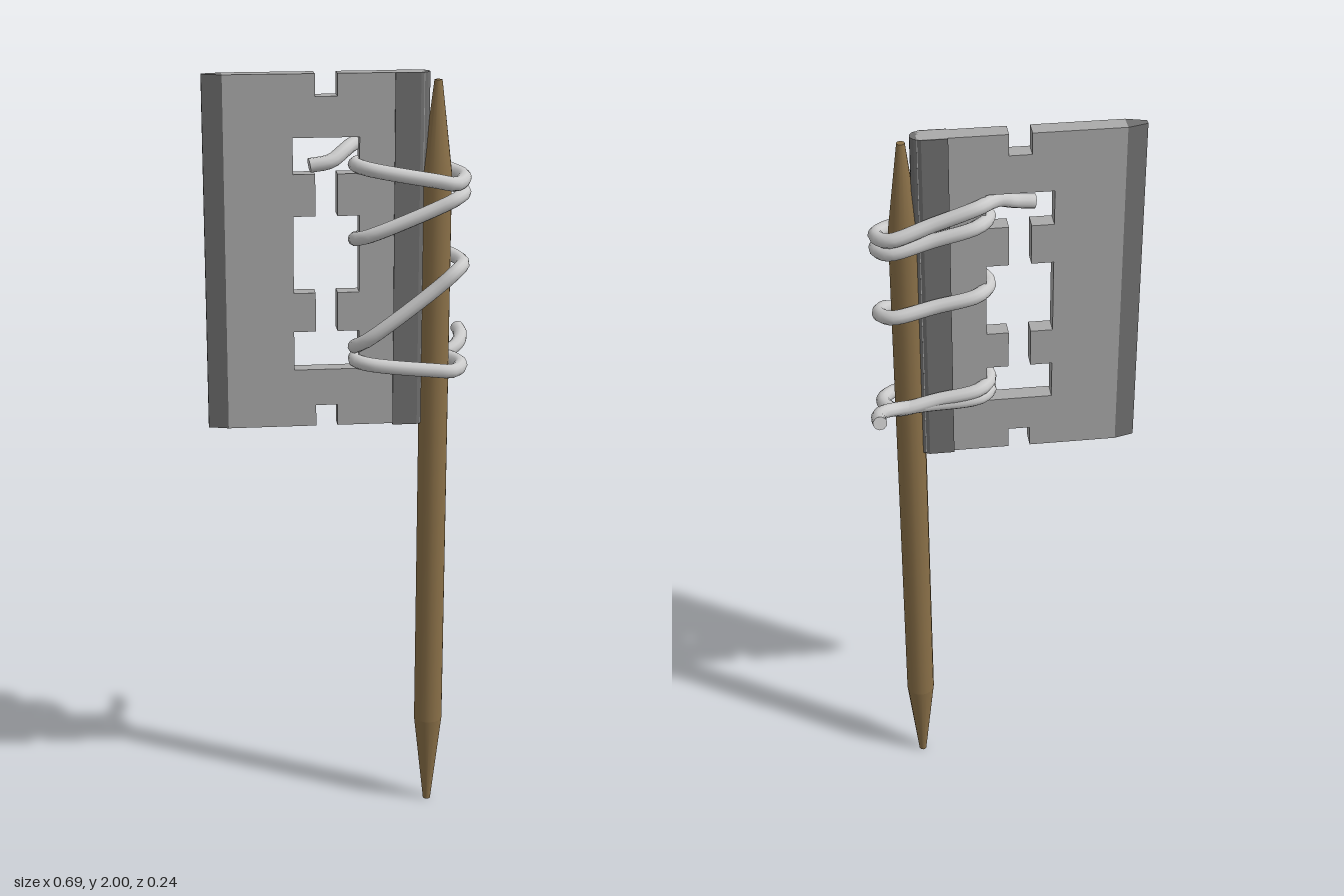
import * as THREE from 'three';

const material = (color, extra = {}) => new THREE.MeshStandardMaterial({ color, ...extra });

function addMesh(parent, name, geometry, mat) {
  const mesh = new THREE.Mesh(geometry, mat);
  mesh.name = name;
  parent.add(mesh);
  return mesh;
}

const toPoints = (list) => list.map(([x, y]) => new THREE.Vector2(x, y));

// Upright prism from an (x, z) outline; the outline is symmetric about z = 0.
function uprightPrism(outline, bottom, height, z) {
  const geometry = new THREE.ExtrudeGeometry(new THREE.Shape(toPoints(outline)), {
    depth: height, bevelEnabled: false,
  });
  return geometry.rotateX(-Math.PI / 2).translate(0, bottom, z);
}

function createBlade() {
  const blade = new THREE.Group();
  blade.name = 'blade';
  const bottom = 1.105, top = 2, z = 0.04, half = 0.022;
  const slotL = -0.07, slotR = -0.015;

  // Plate with a notch in the top and bottom edges
  const plate = new THREE.Shape(toPoints([
    [-0.295, bottom], [slotL, bottom], [slotL, 1.16], [slotR, 1.16], [slotR, bottom], [0.2, bottom],
    [0.2, top], [slotR, top], [slotR, 1.945], [slotL, 1.945], [slotL, top], [-0.295, top],
  ]));

  // Central slot with two pairs of inward tabs
  const holeL = -0.125, holeR = 0.04;
  const levels = [1.255, 1.355, 1.455, 1.65, 1.755, 1.845];
  const left = [], right = [];
  for (let i = 0; i < 5; i++) {
    const tab = i % 2 === 1;
    for (const y of [levels[i], levels[i + 1]]) {
      left.push([tab ? slotL : holeL, y]);
      right.push([tab ? slotR : holeR, y]);
    }
  }
  plate.holes.push(new THREE.Path(toPoints([...left, ...right.reverse()])));
  const plateGeometry = new THREE.ExtrudeGeometry(plate, { depth: half * 2, bevelEnabled: false });
  addMesh(blade, 'bladePlate', plateGeometry.translate(0, 0, z - half), material(0xaaaaaa));

  // Ground cutting edge
  const edge = [[-0.345, -0.008], [-0.295, -half], [-0.295, half], [-0.345, 0.008]];
  addMesh(blade, 'cuttingEdge', uprightPrism(edge, bottom, top - bottom, z), material(0x707070));

  // Folded cover along the blunt side
  const cover = [[0.127, -0.026], [0.19, -0.026], [0.207, -0.018], [0.215, -0.006],
    [0.215, 0.006], [0.207, 0.018], [0.19, 0.026], [0.127, 0.026]];
  addMesh(blade, 'edgeCover', uprightPrism(cover, bottom - 0.003, 0.898, z), material(0x707070));
  return blade;
}

function createStick() {
  // Straight shaft, tapered at both ends
  const shaft = new THREE.Group();
  shaft.name = 'stick';
  const wood = material(0x8a7048);
  const sections = [['lowerPoint', 0, 0.25, 0.01, 0.038], ['shaft', 0.25, 1.75, 0.038, 0.038],
    ['upperPoint', 1.75, 1.98, 0.038, 0.01]];
  for (const [name, y0, y1, r0, r1] of sections) {
    const geometry = new THREE.CylinderGeometry(r1, r0, y1 - y0, 16, 1, name === 'shaft');
    addMesh(shaft, name, geometry.translate(0, (y0 + y1) / 2, 0), wood);
  }
  shaft.position.set(0.235, 0, 0.047);
  return shaft;
}

function createBinding() {
  const binding = new THREE.Group();
  binding.name = 'binding';
  const cord = material(0xcccccc);
  const radius = 0.018;

  // Loose front end, entering the slot
  const path = [[-0.087, 1.782, 0.088], [-0.035, 1.79, 0.083], [0.0, 1.81, 0.058], [0.028, 1.823, 0.025]];

  // Each wrap: slot height, height behind the stick, height in front, next slot height
  const wraps = [
    [1.822, 1.75, 1.73, 1.775],
    [1.772, 1.715, 1.693, 1.588],
    [1.582, 1.535, 1.507, 1.31],
    [1.303, 1.262, 1.25, 1.275],
  ];
  for (const [slotY, backY, frontY, nextY] of wraps) {
    path.push(
      [0.06, slotY, 0.001], [0.17, (slotY + backY) / 2, -0.003], [0.275, backY, -0.002],
      [0.304, (backY + frontY) / 2, 0.048],
      [0.278, frontY, 0.094], [0.225, frontY + (nextY - frontY) * 0.22, 0.102],
      [0.06, frontY + (nextY - frontY) * 0.87, 0.086],
      [0.03, nextY, 0.05],
    );
  }

  // Loose back end
  path.push([0.06, 1.278, 0.001], [0.2, 1.27, -0.004], [0.278, 1.272, -0.015],
    [0.31, 1.285, -0.042], [0.324, 1.298, -0.08], [0.322, 1.307, -0.12]);

  const curve = new THREE.CatmullRomCurve3(path.map((p) => new THREE.Vector3(...p)), false, 'centripetal');
  addMesh(binding, 'cord', new THREE.TubeGeometry(curve, 200, radius, 10), cord);

  // Flat cord ends
  for (const t of [0, 1]) {
    const end = addMesh(binding, 'cordEnd', new THREE.CircleGeometry(radius, 10), cord);
    const outward = curve.getTangent(t).multiplyScalar(t ? 1 : -1);
    end.position.copy(curve.getPoint(t));
    end.quaternion.setFromUnitVectors(new THREE.Vector3(0, 0, 1), outward);
  }
  return binding;
}

export function createModel() {
  const model = new THREE.Group();
  model.name = 'bladeOnStick';
  model.add(createBlade(), createStick(), createBinding());
  return model;
}
